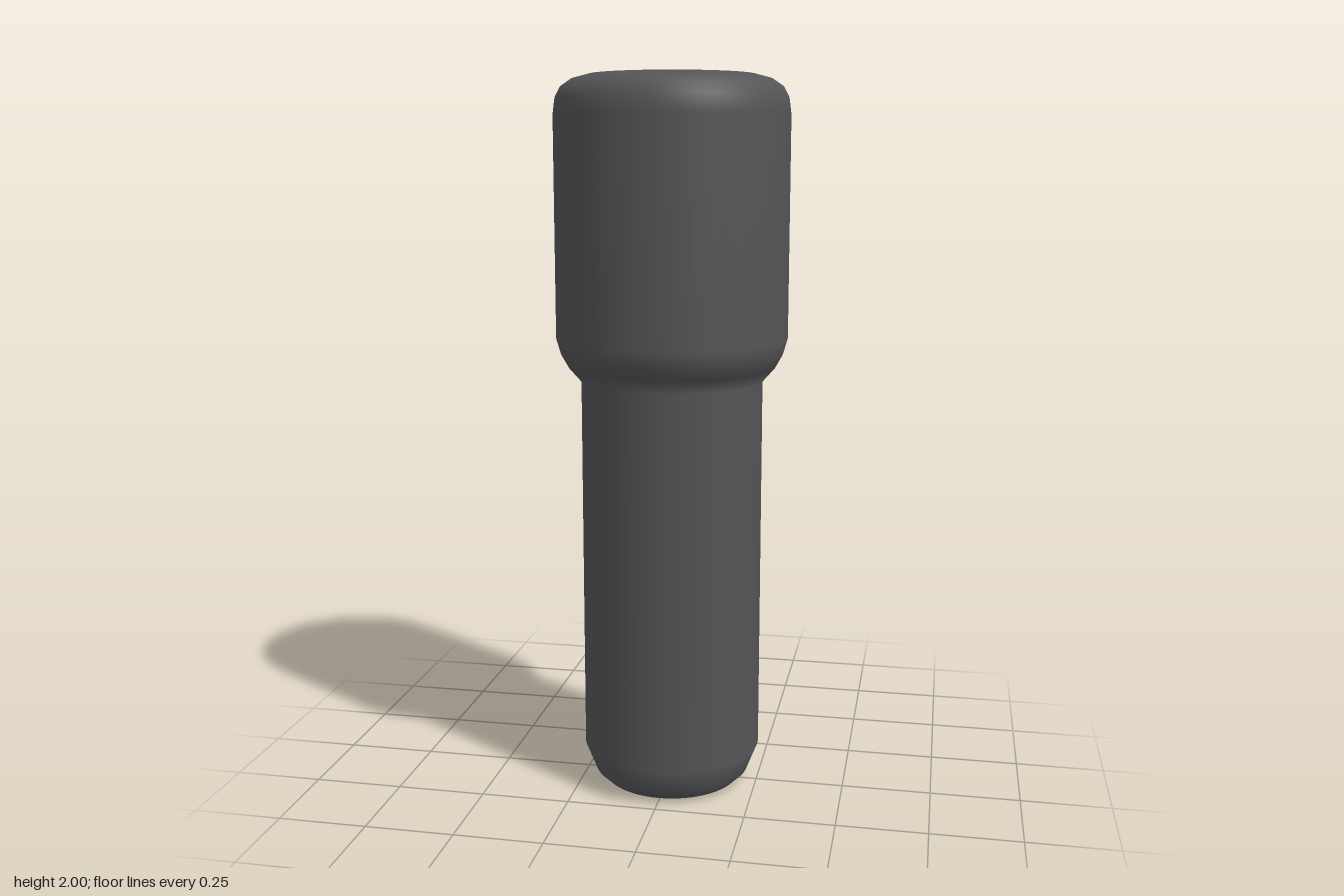
import * as THREE from 'three';

export function createModel() {
  const model = new THREE.Group();
  model.name = 'steppedPin';

  const darkGrey = new THREE.MeshStandardMaterial({ color: 0x555558 });
  darkGrey.name = 'darkGrey';

  // Radius and height, from the underside up to the crown
  const profile = [
    [0, 0], [0.175, 0], [0.195, 0.008], [0.222, 0.034], [0.252, 0.11], // rounded foot
    [0.252, 1.17],                                                    // straight shaft
    [0.287, 1.21], [0.307, 1.245], [0.32, 1.29],                       // flared shoulder
    [0.32, 1.89], [0.314, 1.935], [0.299, 1.963], [0.27, 1.983],       // head and its rounded rim
    [0.225, 1.995], [0.12, 2], [0, 2],                                // flat crown
  ].map(([r, y]) => new THREE.Vector2(r, y));

  // One smooth turned body, so shading flows across the shoulder
  const body = new THREE.Mesh(new THREE.LatheGeometry(profile, 64), darkGrey);
  body.name = 'shaftAndHead';
  model.add(body);

  return model;
}
